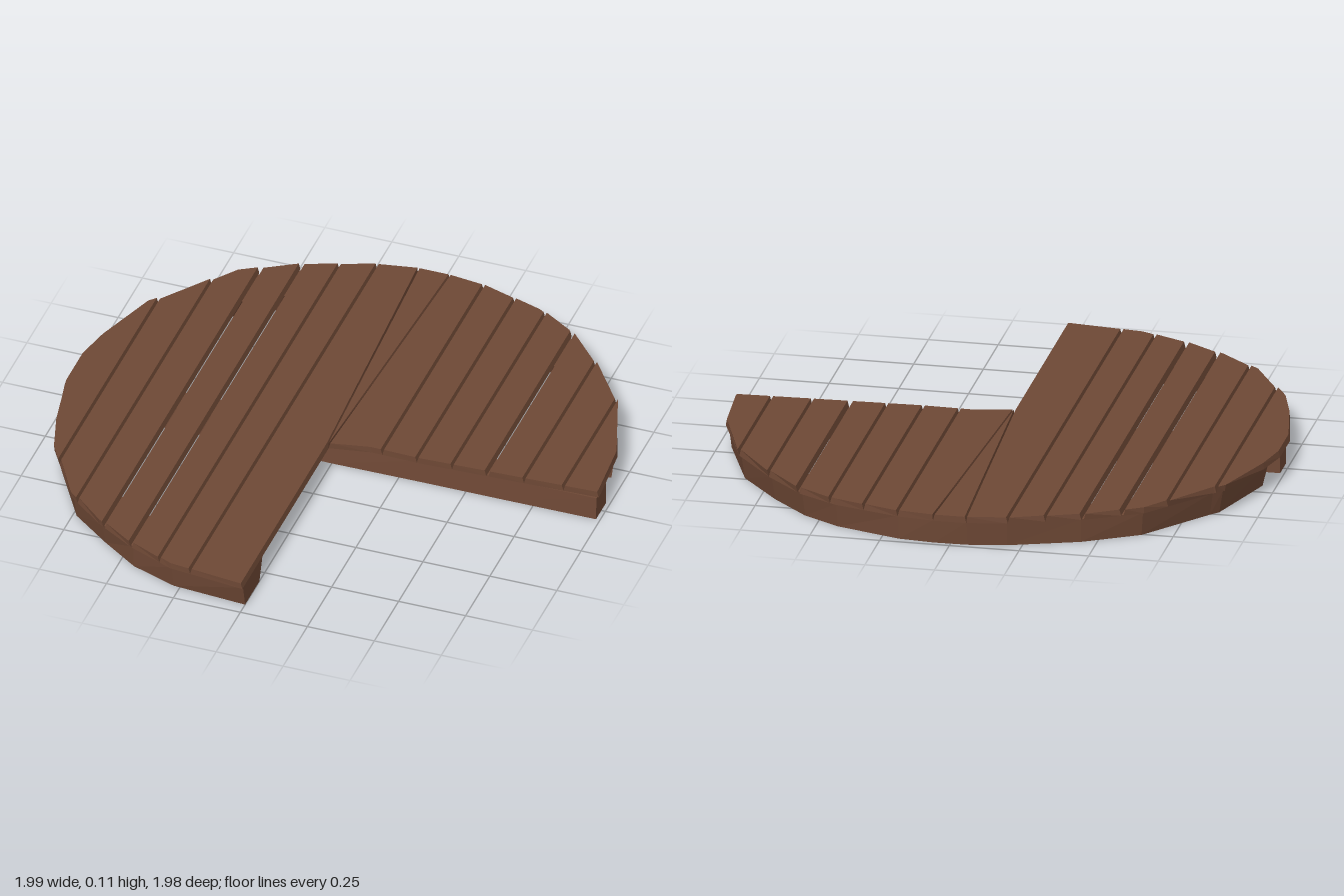
import * as THREE from 'three';

const TOP = 0.11, UNDER = 0.087;

// Deck outline, each edge running from left to right in x
const backEdge = [[-1, -0.12], [-0.97, -0.25], [-0.88, -0.49], [-0.85, -0.52], [-0.65, -0.77], [-0.45, -0.88],
  [-0.2, -0.97], [-0.06, -0.995], [0.06, -0.995], [0.19, -0.98], [0.43, -0.91], [0.57, -0.83], [0.71, -0.69],
  [0.86, -0.5], [0.97, -0.21], [0.99, 0.02]];
const frontEdge = [[-1, 0.05], [-0.95, 0.28], [-0.9, 0.43], [-0.75, 0.67], [-0.6, 0.79], [-0.45, 0.88],
  [-0.28, 0.95], [0, 0.98]];
const notchEdge = [[0, 0.09], [0.15, 0.062], [0.33, 0.066], [0.99, 0.042]];

function zAt(line, x) {
  for (let i = 1; i < line.length; i++) {
    const [x0, z0] = line[i - 1], [x1, z1] = line[i];
    if (x <= x1) return z0 + (z1 - z0) * (x - x0) / (x1 - x0);
  }
  return line[line.length - 1][1];
}

// The part of an edge between two x positions
function slice(line, a, b) {
  return [[a, zAt(line, a)], ...line.filter(([x]) => x > a + 0.001 && x < b - 0.001), [b, zAt(line, b)]];
}

// Flat board whose top is slightly narrower, leaving a V groove at each seam
function boardGeometry(points) {
  const shape = new THREE.Shape(points.map(([x, z]) => new THREE.Vector2(x, z)));
  const geo = new THREE.ExtrudeGeometry(shape, { depth: TOP - UNDER, bevelEnabled: false });
  geo.rotateX(Math.PI / 2);
  geo.translate(0, TOP, 0);
  geo.computeBoundingBox();
  const { min, max } = geo.boundingBox;
  const mid = (min.x + max.x) / 2, k = 1 - 0.012 / (max.x - min.x);
  const pos = geo.attributes.position;
  for (let i = 0; i < pos.count; i++) {
    if (pos.getY(i) > TOP - 0.001) pos.setX(i, mid + (pos.getX(i) - mid) * k);
  }
  geo.computeVertexNormals();
  return geo;
}

// Faceted timber through four-cornered sections, with closed ends
function timberGeometry(sections) {
  const v = [];
  const quad = (a, b, c, d) => v.push(...a, ...b, ...c, ...a, ...c, ...d);
  for (let i = 0; i < sections.length - 1; i++) {
    const s = sections[i], t = sections[i + 1];
    for (let j = 0; j < 4; j++) {
      const n = (j + 1) % 4;
      quad(s[j], t[j], t[n], s[n]);
    }
  }
  const s = sections[0], t = sections[sections.length - 1];
  quad(s[0], s[1], s[2], s[3]);
  quad(t[3], t[2], t[1], t[0]);
  const geo = new THREE.BufferGeometry();
  geo.setAttribute('position', new THREE.Float32BufferAttribute(v, 3));
  geo.computeVertexNormals();
  return geo;
}

export function createModel() {
  const group = new THREE.Group();
  const wood = new THREE.MeshStandardMaterial({ color: 0x6e4835, flatShading: true });
  wood.name = 'brown wood';
  let seed = 7;
  const rand = () => (seed = (seed * 16807) % 2147483647) / 2147483647;
  const add = (name, geo) => {
    const mesh = new THREE.Mesh(geo, wood);
    mesh.name = name;
    group.add(mesh);
  };

  // Deck planks, with a few seams left open
  const open = [-0.58, -0.452, 0.58];
  const gap = x => (open.includes(x) ? 0.004 : 0);
  const planks = (seams, front, name) => {
    for (let i = 0; i < seams.length - 1; i++) {
      const a = seams[i] + gap(seams[i]), b = seams[i + 1] - gap(seams[i + 1]);
      add(name, boardGeometry([...slice(backEdge, a, b), ...slice(front, a, b).reverse()]));
    }
  };
  planks([-1, -0.855, -0.718, -0.58, -0.452, -0.328, -0.203], frontEdge, 'longPlank');
  planks([0.19, 0.32, 0.45, 0.58, 0.715, 0.86, 0.99], notchEdge, 'shortPlank');

  // Wedge-shaped planks meeting at the inner corner
  add('cornerLongPlank', boardGeometry([...slice(backEdge, -0.203, -0.06), [0, 0.09],
    ...slice(frontEdge, -0.203, 0).reverse()]));
  add('cornerSliver', boardGeometry([[-0.06, -0.995], [0.06, -0.995], [0, 0.09]]));
  add('cornerShortPlank', boardGeometry([...slice(backEdge, 0.06, 0.19), ...slice(notchEdge, 0, 0.19).reverse()]));

  // Rough rim timbers under the curved edge
  const rim = (name, path, widthAt) => {
    add(name, timberGeometry(path.map(([x, z], i) => {
      const w = widthAt(i / (path.length - 1));
      const at = (k, y) => [x * k, y, z * k];
      return [at(0.992, UNDER), at(0.97 + rand() * 0.02, 0),
        at(0.985 - w + rand() * 0.02, 0), at(0.97 - w - rand() * 0.02, UNDER)];
    })));
  };
  rim('backRim', [[-0.98, -0.19], ...backEdge.slice(2, 14), [0.97, -0.2]],
    t => 0.05 + 0.08 * Math.sin(t * Math.PI));
  rim('frontRim', [...frontEdge.slice(2).reverse(), [-0.955, 0.25]], t => 0.17 - 0.1 * t);

  // Cross beam beneath the middle
  const beam = [];
  for (let i = 0; i <= 6; i++) {
    const x = -0.985 + i * 1.97 / 6;
    const z = 0.055 + rand() * 0.012;
    beam.push([[x, UNDER, -0.05], [x, 0, -0.05], [x, 0, z - 0.006], [x, UNDER, Math.min(z, 0.05)]]);
  }
  add('crossBeam', timberGeometry(beam));

  return group;
}
